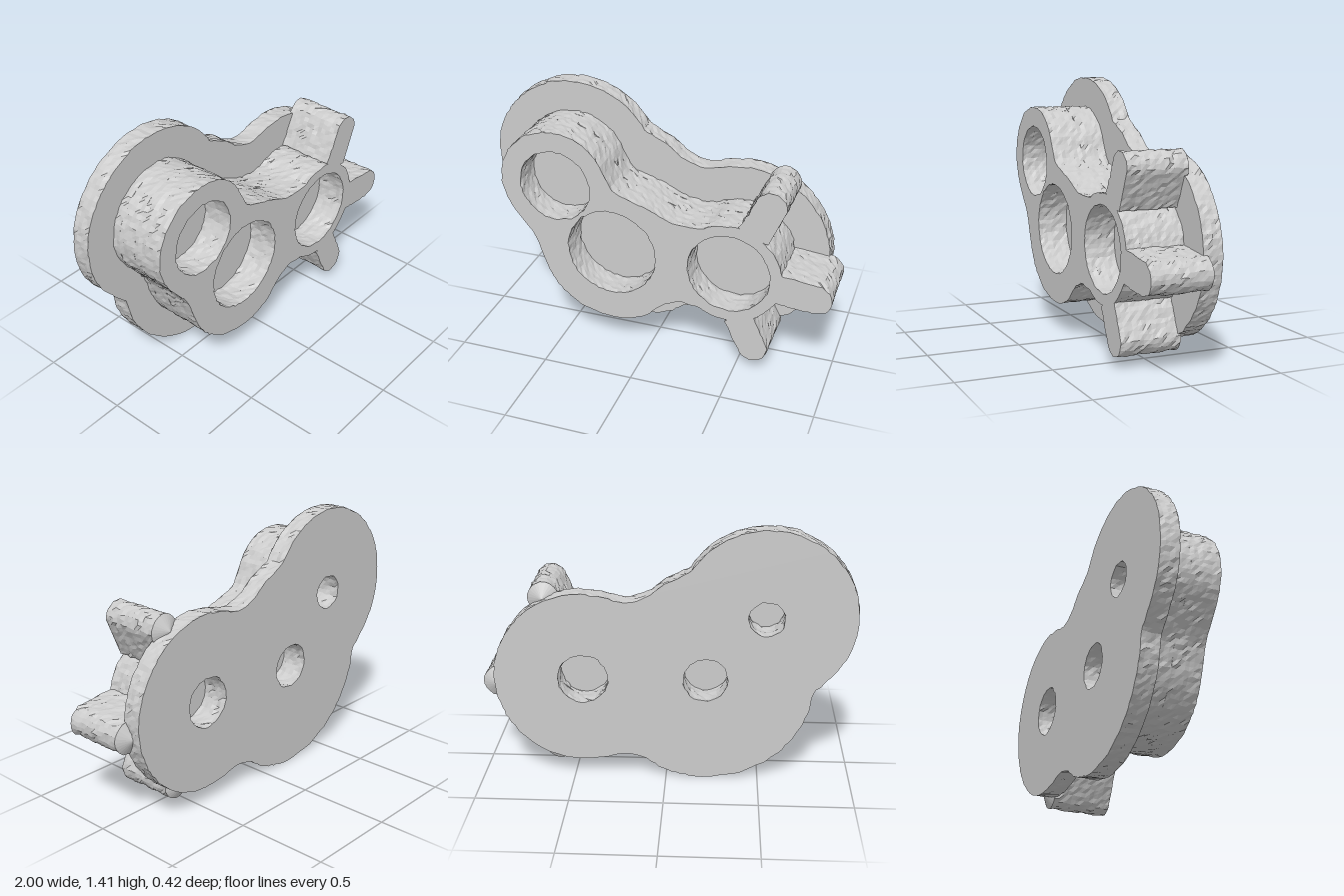
import * as THREE from 'three';

const material = new THREE.MeshStandardMaterial({ color: 0xcccccc, flatShading: true, side: THREE.DoubleSide });
const rad = THREE.MathUtils.degToRad;
const BACK = -0.21, PLATE = -0.105, FRONT = 0.21;   // z levels
const POCKET = 0.04, RECESS = -0.06;                // floors of front bores and back holes
const SPACING = 0.025;

// bore centres with front radius and back radius
const bores = [
  { x: -0.525, y: 0.93, front: 0.2, back: 0.095 },
  { x: -0.21, y: 0.58, front: 0.25, back: 0.12 },
  { x: 0.445, y: 0.575, front: 0.225, back: 0.135 },
];

// repeatable noise from a position, in -0.5..0.5
function noise(x, y, z, seed) {
  const key = Math.round(x * 1000) * 12.9898 + Math.round(y * 1000) * 78.233 + Math.round(z * 1000) * 37.719;
  const s = Math.sin(key + seed) * 43758.5453;
  return s - Math.floor(s) - 0.5;
}

// rough cast walls; flat faces stay flat because only x and y move
function roughen(geometry, amount = 0.009) {
  const p = geometry.attributes.position;
  for (let i = 0; i < p.count; i++) {
    const x = p.getX(i), y = p.getY(i), z = p.getZ(i);
    p.setXY(i, x + amount * noise(x, y, z, 1), y + amount * noise(x, y, z, 7));
  }
  geometry.computeVertexNormals();
  return geometry;
}

function evenPoints(path) {
  const points = path.getSpacedPoints(Math.round(path.getLength() / SPACING));
  points.pop();
  return points;
}

// one slab of the casting between two z levels, with optional round holes
function slab(name, outline, z0, z1, holeKey) {
  const shape = new THREE.Shape(evenPoints(outline));
  if (holeKey) {
    for (const b of bores) {
      const circle = new THREE.Path().absarc(b.x, b.y, b[holeKey], 0, Math.PI * 2, true);
      shape.holes.push(new THREE.Path(evenPoints(circle)));
    }
  }
  const depth = z1 - z0;
  const geometry = new THREE.ExtrudeGeometry(shape, {
    depth, steps: Math.max(1, Math.round(depth / SPACING)), bevelEnabled: false,
  });
  geometry.translate(0, 0, z0);
  const mesh = new THREE.Mesh(roughen(geometry), material);
  mesh.name = name;
  return mesh;
}

// outline of three lobes joined by smooth necks: lobe = [x, y, r, start, end, neck points]
function lobedOutline(lobes) {
  const shape = new THREE.Shape();
  lobes.forEach(([x, y, r, a0, a1, neck], i) => {
    const [nx, ny, nr, na] = lobes[(i + 1) % lobes.length];
    shape.absarc(x, y, r, rad(a0), rad(a1), false);
    const end = [nx + nr * Math.cos(rad(na)), ny + nr * Math.sin(rad(na))];
    shape.splineThru([...neck, end].map(([u, v]) => new THREE.Vector2(u, v)));
  });
  return shape;
}

// locating arm: tapered bar with a round end and a small cone under the overhang
function arm(name, base, tip, baseHalf, tipR) {
  const group = new THREE.Group();
  group.name = name;
  const a = Math.atan2(tip[1] - base[1], tip[0] - base[0]);
  const nx = -Math.sin(a), ny = Math.cos(a);
  const shape = new THREE.Shape();
  shape.moveTo(base[0] + nx * baseHalf, base[1] + ny * baseHalf);
  shape.lineTo(base[0] - nx * baseHalf, base[1] - ny * baseHalf);
  shape.absarc(tip[0], tip[1], tipR, a - Math.PI / 2, a + Math.PI / 2, false);
  shape.closePath();
  group.add(slab(name + 'Bar', shape, -0.12, FRONT));

  const cone = new THREE.ConeGeometry(tipR, 0.045, 24).rotateX(-Math.PI / 2);
  cone.translate(tip[0], tip[1], -0.12 - 0.0225);
  const coneMesh = new THREE.Mesh(cone, material);
  coneMesh.name = name + 'Support';
  group.add(coneMesh);
  return group;
}

export function createModel() {
  const model = new THREE.Group();
  model.name = 'gearHousing';

  const flange = lobedOutline([
    [-0.53, 0.935, 0.47, 32, 210, [[-0.85, 0.59], [-0.785, 0.52]]],
    [-0.21, 0.58, 0.575, 195, 295, [[0.1, 0.105], [0.2, 0.138]]],
    [0.445, 0.575, 0.475, 250, 470, [[0.2, 1.013], [0.1, 1.045], [0, 1.115], [-0.06, 1.145]]],
  ]);
  const body = lobedOutline([
    [-0.53, 0.935, 0.305, 20, 205, [[-0.72, 0.69], [-0.655, 0.6]]],
    [-0.21, 0.58, 0.413, 195, 300, [[0.1, 0.315], [0.2, 0.345]]],
    [0.445, 0.575, 0.285, 240, 480, [[0.2, 0.815], [0.1, 0.835], [-0.05, 0.9], [-0.15, 0.93], [-0.205, 0.97]]],
  ]);

  // back plate and raised body with blind bores on both sides
  model.add(slab('backPlate', flange, BACK, PLATE, 'back'));
  model.add(slab('bodyBack', body, PLATE, RECESS, 'back'));
  model.add(slab('bodyWeb', body, RECESS, POCKET));
  model.add(slab('bodyFront', body, POCKET, FRONT, 'front'));

  // three arms around the small lobe
  model.add(arm('upperArm', [0.57, 0.825], [0.655, 1.005], 0.085, 0.08));
  model.add(arm('sideArm', [0.71, 0.535], [0.912, 0.515], 0.087, 0.085));
  model.add(arm('lowerArm', [0.505, 0.315], [0.592, 0.138], 0.085, 0.08));
  return model;
}
